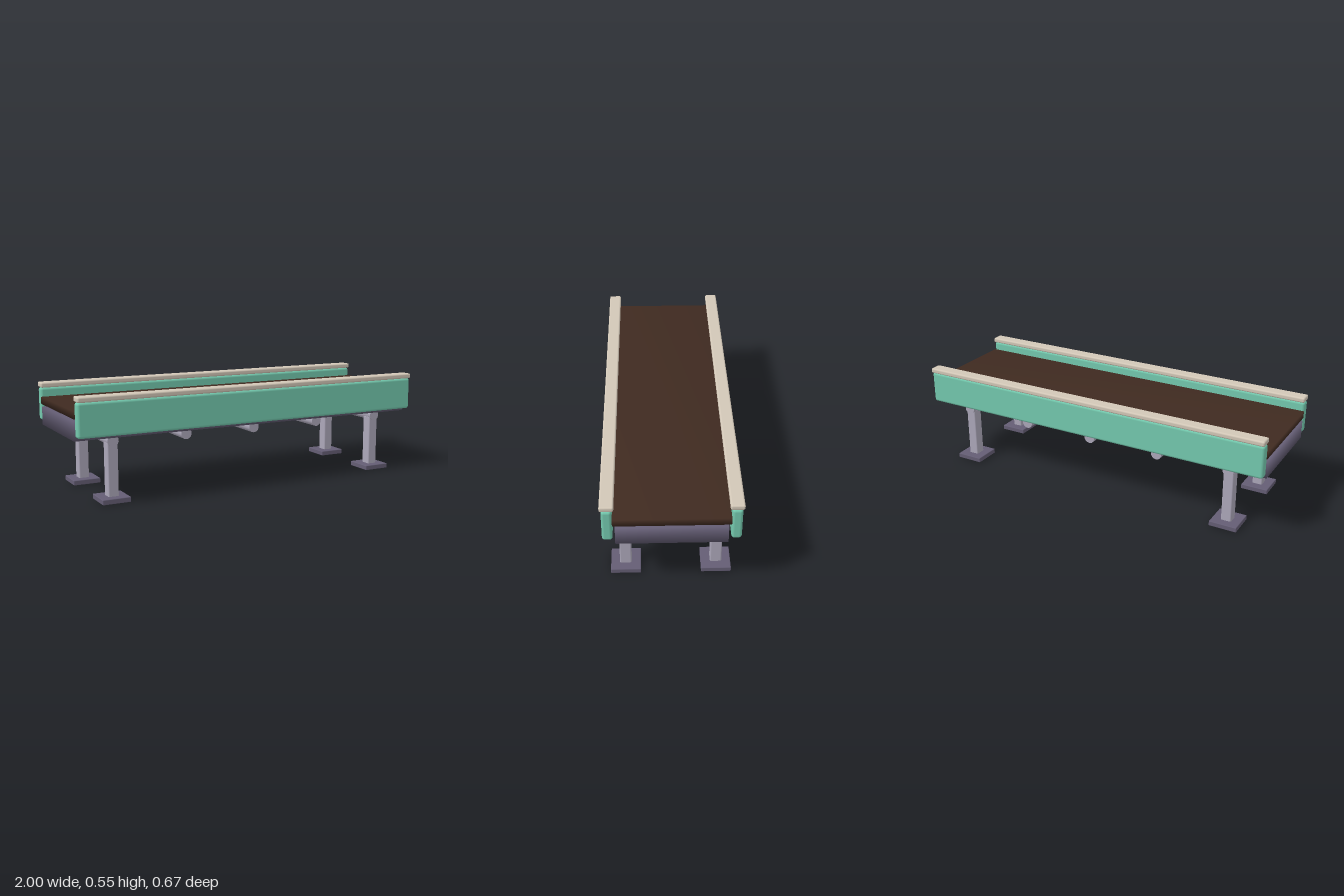
import * as THREE from 'three';
import { mergeVertices } from 'three/addons/utils/BufferGeometryUtils.js';
import { RoundedBoxGeometry } from 'three/addons/geometries/RoundedBoxGeometry.js';

const paint = (name, color) => {
  const m = new THREE.MeshStandardMaterial({ color });
  m.name = name;
  return m;
};

// Box whose corners share area-weighted normals, so the thin ends shade softly
function softBox(w, h, d) {
  const g = new THREE.BoxGeometry(w, h, d);
  g.deleteAttribute('normal');
  g.deleteAttribute('uv');
  const merged = mergeVertices(g);
  merged.computeVertexNormals();
  return merged;
}

export function createModel() {
  const model = new THREE.Group();
  model.name = 'conveyor';

  const green = paint('rail green', 0x74c9ae);
  const cream = paint('cap cream', 0xd2c7b7);
  const brown = paint('belt brown', 0x3f2a20);
  const steel = paint('steel lilac', 0xaca7b9);
  const dark = paint('dark purple', 0x645d74);

  const add = (name, geometry, material, x, y, z) => {
    const mesh = new THREE.Mesh(geometry, material);
    mesh.name = name;
    mesh.position.set(x, y, z);
    model.add(mesh);
    return mesh;
  };

  // Belt and the bed beneath it
  add('belt', softBox(2, 0.038, 0.554), brown, 0, 0.456, 0);
  add('bed', softBox(2, 0.098, 0.53), dark, 0, 0.376, 0);

  // Side rails with caps
  const railGeo = new RoundedBoxGeometry(2, 0.176, 0.05, 3, 0.014);
  const capGeo = new RoundedBoxGeometry(2, 0.028, 0.068, 3, 0.009);
  for (const side of [1, -1]) {
    add('sideRail', railGeo, green, 0, 0.435, side * 0.302);
    add('railCap', capGeo, cream, 0, 0.537, side * 0.301);
  }

  // Cross rollers below the bed
  const rollerGeo = new THREE.CylinderGeometry(0.03, 0.03, 0.526, 14);
  rollerGeo.rotateX(Math.PI / 2);
  for (const x of [-0.8, -0.4, 0, 0.4, 0.8]) {
    add('roller', rollerGeo, steel, x, 0.313, 0);
  }

  // Legs and foot plates
  const legGeo = new RoundedBoxGeometry(0.056, 0.302, 0.059, 2, 0.007);
  const footGeo = new RoundedBoxGeometry(0.15, 0.027, 0.15, 2, 0.004);
  for (const x of [-0.8, 0.8]) {
    for (const side of [1, -1]) {
      add('leg', legGeo, steel, x, 0.154, side * 0.226);
      add('footPlate', footGeo, dark, x, 0.0135, side * 0.225);
    }
  }

  return model;
}
